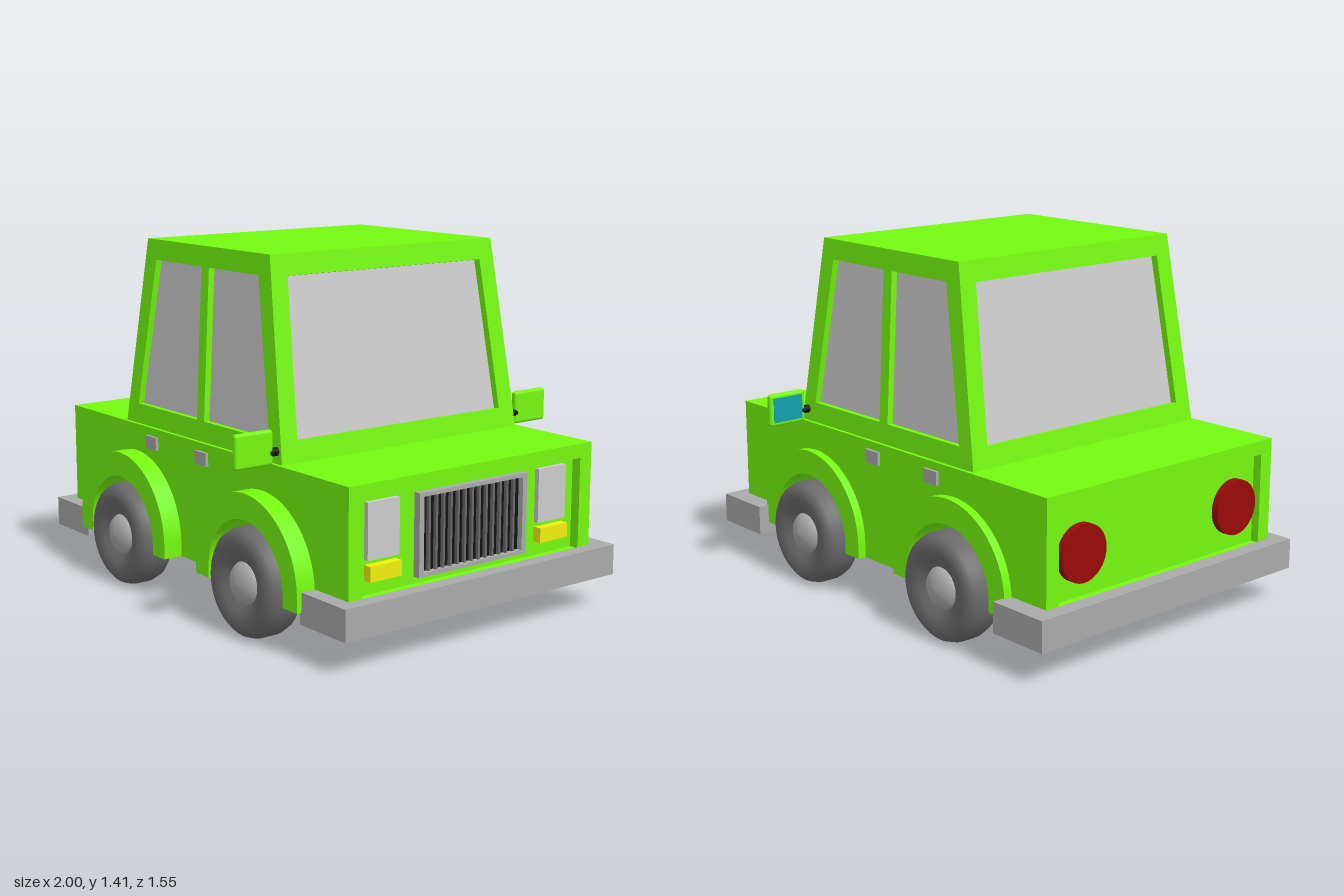
import * as THREE from 'three';
import { RoundedBoxGeometry } from 'three/addons/geometries/RoundedBoxGeometry.js';
import { toCreasedNormals } from 'three/addons/utils/BufferGeometryUtils.js';

const mat = (color) => new THREE.MeshStandardMaterial({ color });
const GREEN = mat(0x74f80f), GLASS = mat(0xcccccc), METAL = mat(0xaaaaaa), RUBBER = mat(0x6a6a6a);
const BLACK = mat(0x111111), YELLOW = mat(0xf0f010), RED = mat(0x990a0a), TEAL = mat(0x10a0b0);

const WHEEL_X = [-0.435, 0.43], ARCH_Y = 0.22, ARCH_R = 0.235, FLOOR = 0.18;

function add(parent, name, geometry, material) {
  const mesh = new THREE.Mesh(geometry, material);
  mesh.name = name;
  parent.add(mesh);
  return mesh;
}

// Box given by its limits on each axis
function box(parent, name, [x0, x1], [y0, y1], [z0, z1], material) {
  const g = new THREE.BoxGeometry(x1 - x0, y1 - y0, z1 - z0);
  g.translate((x0 + x1) / 2, (y0 + y1) / 2, (z0 + z1) / 2);
  return add(parent, name, g, material);
}

const poly = (pts) => new THREE.Shape(pts.map(([x, y]) => new THREE.Vector2(x, y)));
const rect = (w, y0, y1) => poly([[-w, y0], [w, y0], [w, y1], [-w, y1]]);

function extrude(shape, z0, z1) {
  const g = new THREE.ExtrudeGeometry(shape, { depth: z1 - z0, bevelEnabled: false, curveSegments: 32 });
  return toCreasedNormals(g.translate(0, 0, z0), 0.5);
}

// Rectangular ring facing along x
function frame(outer, inner, x0, x1) {
  const s = rect(...outer);
  s.holes.push(rect(...inner));
  return extrude(s, x0, x1).rotateY(Math.PI / 2);
}

function buildBody(car) {
  const s = new THREE.Shape().moveTo(-0.9, FLOOR);
  for (const x of WHEEL_X) {
    s.lineTo(x - ARCH_R, FLOOR);
    s.lineTo(x - ARCH_R, ARCH_Y);
    s.absarc(x, ARCH_Y, ARCH_R, Math.PI, 0, true);
    s.lineTo(x + ARCH_R, FLOOR);
  }
  s.lineTo(0.9, FLOOR);
  s.lineTo(0.9, 0.665);
  s.lineTo(-0.9, 0.665);
  add(car, 'body', extrude(s, -0.6, 0.6), GREEN);

  // Raised rims around the recessed nose and tail panels
  const outer = [0.6, FLOOR, 0.665], inner = [0.54, 0.25, 0.61];
  add(car, 'noseRim', frame(outer, inner, 0.9, 0.94), GREEN);
  add(car, 'tailRim', frame(outer, inner, -0.935, -0.9), GREEN);

  for (const x of WHEEL_X) {
    // Flared wheel arches
    const R = 0.32, y = 0.235;
    const arch = new THREE.Shape().moveTo(x + R, FLOOR);
    arch.lineTo(x + R, y);
    arch.absarc(x, y, R, 0, Math.PI, false);
    arch.lineTo(x - R, FLOOR);
    arch.lineTo(x - ARCH_R, FLOOR);
    arch.lineTo(x - ARCH_R, ARCH_Y);
    arch.absarc(x, ARCH_Y, ARCH_R, Math.PI, 0, true);
    arch.lineTo(x + ARCH_R, FLOOR);
    add(car, 'leftArch', extrude(arch, 0.6, 0.68), GREEN);
    add(car, 'rightArch', extrude(arch, -0.635, -0.6), GREEN);

    // Dark block closing the top of the wheel well
    const a = Math.asin(0.08 / ARCH_R);
    const well = new THREE.Shape().absarc(x, ARCH_Y, ARCH_R - 0.001, a, Math.PI - a, false);
    add(car, 'wheelWell', extrude(well, -0.42, 0.42), BLACK);
  }
}

function buildCabin(car) {
  const cabin = new THREE.Group();
  cabin.name = 'cabin';
  cabin.position.set(0.004, 0.665, 0);
  car.add(cabin);
  const H = 0.75, V0 = 0.08, V1 = 0.67;
  const bottom = [0.533, 0.585], top = [0.41, 0.545];

  // Leaning wall with window openings, turned to each side
  function wall(name, w0, w1, distance, lean, windows, turn) {
    const tilt = Math.atan(lean / H), k = 1 / Math.cos(tilt);
    const s = poly([[-w0, 0], [w0, 0], [w1, H * k], [-w1, H * k]]);
    for (const [a0, b0, a1, b1] of windows) {
      s.holes.push(poly([[a0, V0 * k], [b0, V0 * k], [b1, V1 * k], [a1, V1 * k]]));
    }
    const g = extrude(s, -0.04, 0).rotateX(-tilt).translate(0, 0, distance).rotateY(turn);
    add(cabin, name, g, GREEN);
  }
  const sideWindows = [[-0.449, -0.025, -0.345, -0.025], [0.025, 0.449, 0.025, 0.345]];
  const endWindow = [[-0.505, 0.505, -0.475, 0.475]];
  ['leftWall', 'rightWall'].forEach((n, i) =>
    wall(n, bottom[0], top[0], bottom[1], bottom[1] - top[1], sideWindows, i * Math.PI));
  ['frontWall', 'rearWall'].forEach((n, i) =>
    wall(n, bottom[1], top[1], bottom[0], bottom[0] - top[0], endWindow, Math.PI / 2 + i * Math.PI));
  box(cabin, 'roof', [-top[0], top[0]], [H - 0.03, H], [-top[1], top[1]], GREEN);

  // Tapered block of glass set just behind the walls
  const glass = new THREE.BoxGeometry(2, H - 0.02, 2).translate(0, (H - 0.02) / 2, 0);
  const p = glass.attributes.position;
  for (let i = 0; i < p.count; i++) {
    const size = p.getY(i) > 0.1 ? top : bottom;
    p.setX(i, p.getX(i) * (size[0] - 0.028));
    p.setZ(i, p.getZ(i) * (size[1] - 0.025));
  }
  glass.computeVertexNormals();
  add(cabin, 'windows', glass, GLASS);
}

function buildWheels(car) {
  const tyrePts = [[0.08, -0.05], [0.115, -0.072], [0.15, -0.082], [0.18, -0.078], [0.2, -0.06], [0.21, -0.03],
    [0.21, 0.03], [0.2, 0.06], [0.18, 0.078], [0.15, 0.082], [0.115, 0.072], [0.08, 0.05]];
  const hubPts = [[0, -0.09], [0.04, -0.084], [0.07, -0.068], [0.086, -0.045],
    [0.086, 0.045], [0.07, 0.068], [0.04, 0.084], [0, 0.09]];
  const lathe = (pts) => new THREE.LatheGeometry(pts.map(([x, y]) => new THREE.Vector2(x, y)), 40).rotateX(Math.PI / 2);
  for (const x of WHEEL_X) {
    for (const z of [0.63, -0.61]) {
      const wheel = new THREE.Group();
      wheel.name = 'wheel';
      wheel.position.set(x, 0.215, z);
      add(wheel, 'tyre', lathe(tyrePts), RUBBER);
      add(wheel, 'hub', lathe(hubPts), METAL);
      car.add(wheel);
    }
    const axle = new THREE.CylinderGeometry(0.035, 0.035, 1.2, 20).rotateX(Math.PI / 2);
    add(car, 'axle', axle, BLACK).position.set(x, 0.215, 0.01);
  }
}

function buildTrim(car) {
  // Wrap-around bumpers
  for (const [name, s, inner, tip] of [['frontBumper', 1, 0.94, 0.74], ['rearBumper', -1, 0.935, 0.745]]) {
    const shape = poly([[tip, -0.66], [1, -0.66], [1, 0.68], [tip, 0.68], [tip, 0.6], [inner, 0.6],
      [inner, -0.6], [tip, -0.6]].map(([x, y]) => [s * x, y]));
    add(car, name, extrude(shape, 0, 0.12).rotateX(-Math.PI / 2).translate(0, 0.135, 0), METAL);
  }

  // Grille with upright bars
  add(car, 'grilleFrame', frame([0.267, 0.277, 0.59], [0.245, 0.292, 0.575], 0.9, 0.93), METAL);
  box(car, 'grilleBack', [0.899, 0.906], [0.285, 0.58], [-0.25, 0.25], BLACK);
  for (let i = 1; i < 14; i++) {
    const z = -0.245 + i * 0.035;
    box(car, 'grilleBar', [0.9, 0.92], [0.285, 0.58], [z - 0.005, z + 0.005], RUBBER);
  }

  for (const s of [1, -1]) {
    // Lamps
    const span = s > 0 ? [0.352, 0.498] : [-0.483, -0.338];
    box(car, 'headlight', [0.89, 0.92], [0.38, 0.59], span, GLASS);
    box(car, 'indicator', [0.89, 0.935], [0.305, 0.362], span, YELLOW);
    const lamp = new THREE.CylinderGeometry(0.11, 0.11, 0.04, 32).rotateZ(Math.PI / 2);
    add(car, 'tailLight', lamp, RED).position.set(-0.91, 0.42, s * 0.41);

    // Door handles
    for (const x of [-0.35, 0.005]) {
      const z = [0.59, 0.612].map((v) => v * s).sort((a, b) => a - b);
      box(car, 'doorHandle', [x, x + 0.078], [0.58, 0.633], z, METAL);
    }

    // Door mirrors
    const mirror = new THREE.Group();
    mirror.name = 'mirror';
    mirror.position.set(0.502, 0.731, s * 0.69);
    add(mirror, 'mirrorShell', new RoundedBoxGeometry(0.028, 0.132, 0.168, 3, 0.012), GREEN);
    box(mirror, 'mirrorGlass', [-0.016, -0.01], [-0.05, 0.05], [-0.068, 0.068], TEAL);
    const stem = new THREE.CylinderGeometry(0.016, 0.016, 0.08, 16).rotateX(Math.PI / 2);
    add(mirror, 'mirrorStem', stem, BLACK).position.set(0, -0.02, -s * 0.11);
    car.add(mirror);
  }
}

export function createModel() {
  const car = new THREE.Group();
  car.name = 'car';
  buildBody(car);
  buildCabin(car);
  buildWheels(car);
  buildTrim(car);
  return car;
}
